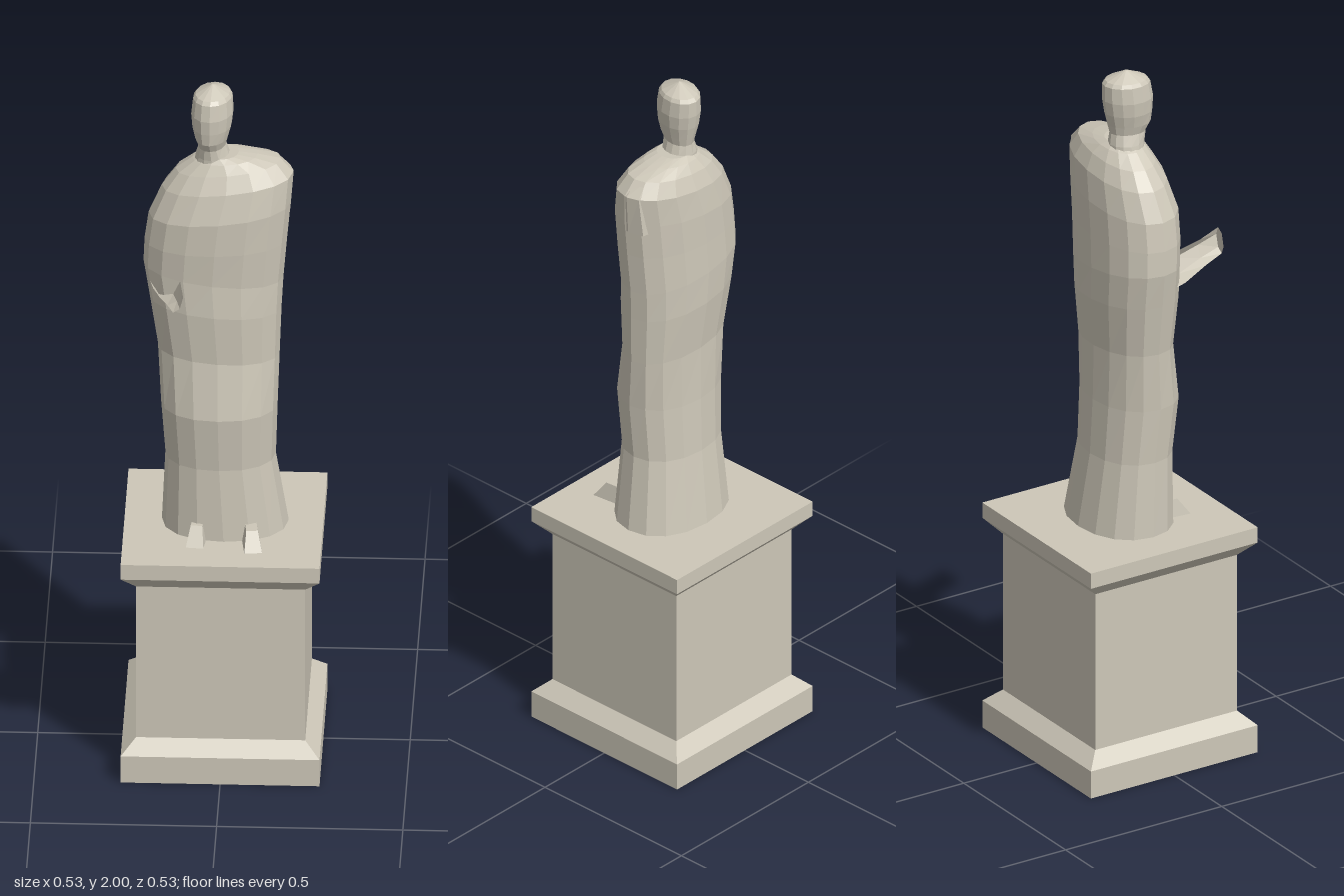
import * as THREE from 'three';

const stone = new THREE.MeshStandardMaterial({ color: 0xcdc7b8, flatShading: true });
stone.name = 'pale stone';

// Skins a stack of closed rings (arrays of Vector3, bottom to top) and caps both ends.
function loft(rings) {
  const n = rings[0].length, pos = [], index = [];
  rings.forEach(r => r.forEach(p => pos.push(p.x, p.y, p.z)));
  for (let j = 0; j < rings.length - 1; j++) {
    for (let i = 0; i < n; i++) {
      const a = j * n + i, b = j * n + (i + 1) % n;
      index.push(a, a + n, b, b, a + n, b + n);
    }
  }
  [0, rings.length - 1].forEach((j, end) => {
    const c = new THREE.Vector3();
    rings[j].forEach(p => c.addScaledVector(p, 1 / n));
    const k = pos.length / 3;
    pos.push(c.x, c.y, c.z);
    for (let i = 0; i < n; i++) {
      const a = j * n + i, b = j * n + (i + 1) % n;
      if (end) index.push(a, k, b); else index.push(b, k, a);
    }
  });
  const g = new THREE.BufferGeometry();
  g.setAttribute('position', new THREE.Float32BufferAttribute(pos, 3));
  g.setIndex(index);
  g.computeVertexNormals();
  return g;
}

// Oval ring between x limits and z limits; its height runs from yMin side to yMax side.
function oval([y0, y1, x0, x1, z0, z1], n, power = 1) {
  const ring = [];
  for (let i = 0; i < n; i++) {
    const a = (i / n) * Math.PI * 2, c = Math.cos(a), s = Math.sin(a);
    const u = Math.sign(c) * Math.abs(c) ** power, v = Math.sign(s) * Math.abs(s) ** power;
    ring.push(new THREE.Vector3(
      (x0 + x1) / 2 + u * (x1 - x0) / 2,
      (y0 + y1) / 2 + u * (y1 - y0) / 2,
      (z0 + z1) / 2 + v * (z1 - z0) / 2));
  }
  return ring;
}

function add(group, name, geometry) {
  const mesh = new THREE.Mesh(geometry, stone);
  mesh.name = name;
  group.add(mesh);
  return mesh;
}

export function createModel() {
  const model = new THREE.Group();
  model.name = 'statue';

  // Square pedestal with sloped base and cornice mouldings
  const profile = [[0, 0], [0.267, 0], [0.267, 0.08], [0.227, 0.118], [0.227, 0.58],
    [0.267, 0.622], [0.267, 0.667], [0, 0.667]]
    .map(([h, y]) => new THREE.Vector2(h * Math.SQRT2, y));
  add(model, 'pedestal', new THREE.LatheGeometry(profile, 4, Math.PI / 4));

  // Robed body: height at right and left, x limits, z limits
  const robe = [
    [0.66, 0.66, -0.167, 0.175, -0.133, 0.128],
    [0.88, 0.88, -0.157, 0.14, -0.102, 0.122],
    [1.04, 1.04, -0.168, 0.145, -0.095, 0.138],
    [1.21, 1.19, -0.177, 0.15, -0.093, 0.112],
    [1.36, 1.33, -0.2, 0.155, -0.108, 0.12],
    [1.46, 1.42, -0.216, 0.16, -0.11, 0.115],
    [1.53, 1.54, -0.213, 0.17, -0.108, 0.12],
    [1.61, 1.65, -0.202, 0.18, -0.107, 0.12],
    [1.69, 1.735, -0.167, 0.186, -0.1, 0.1],
    [1.74, 1.775, -0.13, 0.152, -0.082, 0.075],
    [1.775, 1.788, -0.085, 0.09, -0.062, 0.058],
    [1.79, 1.795, -0.06, 0.04, -0.045, 0.045],
  ];
  add(model, 'robe', loft(robe.map(r => oval(r, 16, 0.92))));

  // Raised corner of cloth over the left shoulder
  const shoulder = [
    [1.62, 1.62, 0.06, 0.178, -0.06, 0.05],
    [1.735, 1.735, 0.07, 0.187, -0.05, 0.035],
    [1.782, 1.773, 0.07, 0.148, -0.042, 0.03],
  ];
  add(model, 'shoulderDrape', loft(shoulder.map(r => oval(r, 8, 0.6))));

  // Neck and head, turned slightly to the right
  const head = new THREE.Group();
  head.name = 'head';
  head.position.x = -0.03;
  head.rotation.y = -0.25;
  model.add(head);
  const skull = [
    [1.77, 0.05, -0.05, 0.05], [1.79, 0.046, -0.05, 0.05], [1.82, 0.036, -0.046, 0.054],
    [1.845, 0.043, -0.052, 0.068], [1.88, 0.052, -0.06, 0.072], [1.92, 0.056, -0.066, 0.074],
    [1.965, 0.052, -0.066, 0.066], [1.975, 0.046, -0.058, 0.058], [1.999, 0.003, -0.003, 0.003],
  ];
  add(head, 'neckAndSkull', loft(skull.map(([y, w, z0, z1]) => oval([y, y, -w, w, z0, z1], 14))));

  // Right forearm and hand reaching forward: centre, half width, half height
  const arm = [
    [-0.155, 1.43, 0.03, 0.045, 0.045], [-0.15, 1.437, 0.1, 0.036, 0.04],
    [-0.132, 1.452, 0.18, 0.026, 0.032], [-0.118, 1.466, 0.243, 0.018, 0.034],
  ];
  add(model, 'rightForearm', loft(arm.map(([x, y, z, w, h]) => {
    const ring = [];
    for (let i = 0; i < 6; i++) {
      const a = (i / 6) * Math.PI * 2;
      ring.push(new THREE.Vector3(x + Math.cos(a) * w, y - Math.sin(a) * h + Math.cos(a) * 0.012, z));
    }
    return ring.reverse();
  })));

  // Sandalled feet: wedge toes sloping down to the front
  [['rightFoot', -0.066, 0.167, 0.1], ['leftFoot', 0.078, 0.19, -0.12]].forEach(([name, x, z, turn]) => {
    const g = new THREE.BoxGeometry(0.048, 0.05, 0.13);
    const p = g.attributes.position;
    for (let i = 0; i < p.count; i++) {
      if (p.getY(i) > 0) {
        p.setX(i, p.getX(i) * 0.65);
        if (p.getZ(i) > 0) p.setZ(i, 0.028);
      }
    }
    const foot = add(model, name, g);
    foot.position.set(x, 0.691, z - 0.065);
    foot.rotation.y = -turn;
  });

  return model;
}
